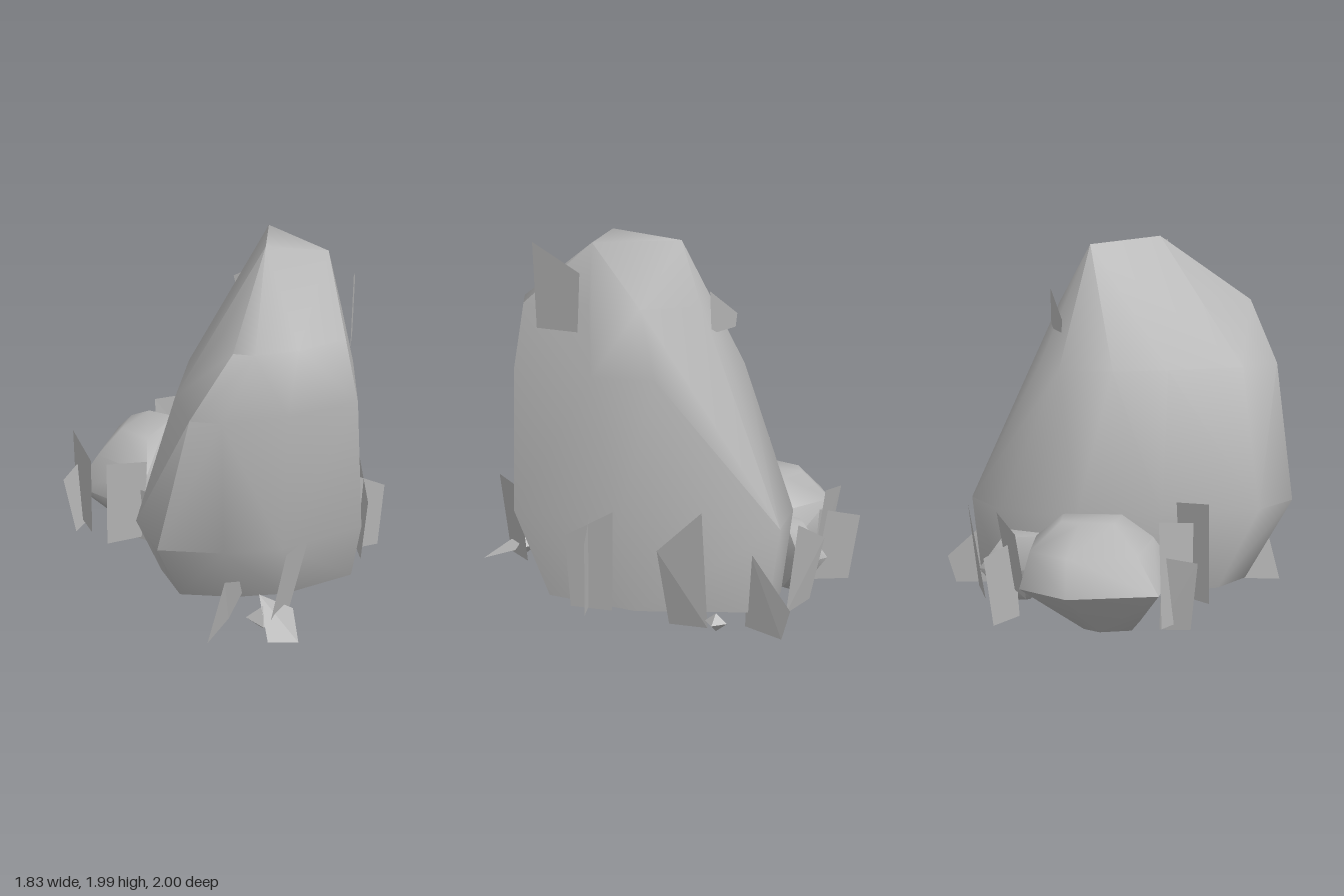
import * as THREE from 'three';
import { toCreasedNormals } from 'three/addons/utils/BufferGeometryUtils.js';
import { ConvexGeometry } from 'three/addons/geometries/ConvexGeometry.js';

const stone = new THREE.MeshStandardMaterial({ color: 0xb4b4b4, side: THREE.DoubleSide });
stone.name = 'stone grey';

// Plan outlines, as fractions of a level's width and depth
const lowPlan = [[0.48, 0.03], [0.76, 0], [1, 0.47], [0.98, 0.85], [0.63, 0.98],
  [0.38, 1], [0.1, 0.98], [0, 0.81], [0.07, 0.48], [0.2, 0.22]];
const highPlan = [[0.3, 0.02], [0.55, 0], [0.93, 0.22], [1, 0.47], [0.98, 0.83], [0.6, 0.95],
  [0.25, 1], [0.08, 0.98], [0, 0.78], [0.07, 0.45], [0.15, 0.22]];
const crownPlan = [[0, 1], [0.1, 0], [1, 0.88]];
const squatPlan = [[0, 0.67], [0.18, 0.17], [0.52, 0], [1, 0.2], [0.87, 0.52], [0.52, 1]];

// Boulder: hull around a plan fitted into each level [plan, y, x0, x1, z0, z1];
// faces lying wholly below openBelow are left out
function boulder(name, levels, crease, openBelow = 0) {
  const points = levels.flatMap(([plan, y, x0, x1, z0, z1]) => plan.map(([u, v]) =>
    new THREE.Vector3(x0 + u * (x1 - x0), y, z0 + v * (z1 - z0))));
  const hull = new ConvexGeometry(points).getAttribute('position');
  const kept = [];
  for (let i = 0; i < hull.count; i += 3) {
    const face = [0, 1, 2].map((k) => new THREE.Vector3().fromBufferAttribute(hull, i + k));
    if (face.some((p) => p.y > openBelow)) kept.push(...face);
  }
  const geo = new THREE.BufferGeometry().setFromPoints(kept);
  const mesh = new THREE.Mesh(toCreasedNormals(geo, crease), stone);
  mesh.name = name;
  return mesh;
}

// Thin blade: two top corners, then a narrower foot at height base, shifted by the lean
function blade(name, [x1, z1, y1, x2, z2, y2, base, leanX = 0, leanZ = 0]) {
  const top1 = new THREE.Vector3(x1, y1, z1);
  const top2 = new THREE.Vector3(x2, y2, z2);
  const foot = (t) => top1.clone().lerp(top2, t).setY(base).add(new THREE.Vector3(leanX, 0, leanZ));
  const corners = [top1, top2, foot(0.94), top1, foot(0.94), foot(0.06)];
  const geo = new THREE.BufferGeometry().setFromPoints(corners);
  geo.computeVertexNormals();
  const mesh = new THREE.Mesh(geo, stone);
  mesh.name = name;
  return mesh;
}

export function createModel() {
  const group = new THREE.Group();
  group.name = 'rockCluster';

  // Tall boulder, open underneath: base, belly, shoulder, brow and crown
  group.add(boulder('mainBoulder', [
    [lowPlan, 0.1, -0.35, 0.73, -0.76, 0.59],
    [lowPlan, 0.55, -0.47, 0.75, -0.81, 0.83],
    [highPlan, 1.3, -0.25, 0.69, -0.47, 0.81],
    [highPlan, 1.64, -0.01, 0.61, -0.32, 0.75],
    [crownPlan, 1.96, 0.21, 0.53, -0.17, 0.25],
    [[[0, 0]], 2, 0.21, 0.21, 0.24, 0.24],
  ], 1, 0.11));

  // Squat boulders behind
  group.add(boulder('sideBoulder', [
    [squatPlan, 0.03, -0.62, -0.38, -0.52, -0.2],
    [squatPlan, 0.28, -0.87, -0.1, -0.86, 0.02],
    [squatPlan, 0.46, -0.74, -0.16, -0.79, -0.1],
    [squatPlan, 0.6, -0.6, -0.3, -0.62, -0.28],
  ], 1.2));
  group.add(boulder('backBoulder', [
    [squatPlan, 0.08, -0.06, 0.06, -0.78, -0.6],
    [squatPlan, 0.27, -0.17, 0.16, -0.92, -0.45],
    [squatPlan, 0.44, -0.12, 0.09, -0.78, -0.5],
  ], 1.2));

  // Pebbles
  for (const [x, y, z, r] of [[0.72, 0.11, -0.57, 0.06], [0.2, 0.16, 0.85, 0.09]]) {
    const pebble = new THREE.Mesh(new THREE.OctahedronGeometry(r), stone);
    pebble.name = 'pebble';
    pebble.position.set(x, y, z);
    pebble.scale.y = 0.8;
    group.add(pebble);
  }

  // Shards clinging high on the tall boulder
  group.add(blade('upperShard', [0.63, 0.49, 1.96, 0.67, 0.2, 1.82, 1.52]));
  group.add(blade('backShard', [0.34, -0.37, 1.72, 0.06, -0.41, 1.57, 1.5]));

  // Blades round the foot
  const sides = {
    left: [
      [0.8, -0.28, 0.47, 0.77, -0.51, 0.69, 0.04, -0.12],
      [0.73, 0.13, 0.59, 0.91, 0.07, 0.49, 0.1, -0.01, 0.01],
      [0.77, -0.02, 0.63, 0.8, 0.24, 0.48, 0.09, -0.02],
    ],
    front: [
      [0.31, 0.92, 0.6, 0.44, 0.72, 0.58, 0.12, -0.09],
      [0, 0.82, 0.36, 0.13, 0.58, 0.2, 0.01, -0.1, 0.07],
      [0.18, 0.8, 0.27, 0.36, 0.8, 0.18, 0.11, 0.03, 0.2],
    ],
    right: [
      [-0.87, -0.27, 0.66, -0.75, -0.02, 0.6, 0.11, -0.01],
      [-0.92, -0.08, 0.44, -0.84, -0.24, 0.47, 0.08, 0.05],
      [-0.65, 0.12, 0.66, -0.43, 0.04, 0.63, 0.13, -0.03],
      [-0.62, -0.03, 0.46, -0.42, 0.08, 0.45, 0.1, 0.05],
    ],
    back: [
      [-0.42, -0.86, 0.55, -0.13, -0.86, 0.6, 0.2, 0, 0.06],
      [0.06, -0.92, 0.4, 0.35, -0.87, 0.55, 0.06, 0.02, 0.06],
      [0.5, -0.66, 0.43, 0.6, -0.92, 0.18, 0.02, 0, 0.03],
      [-0.33, -1, 0.42, -0.22, -0.8, 0.46, 0.05, 0.01, 0.04],
    ],
  };
  for (const [side, blades] of Object.entries(sides)) {
    for (const shape of blades) group.add(blade(side + 'Blade', shape));
  }

  return group;
}
